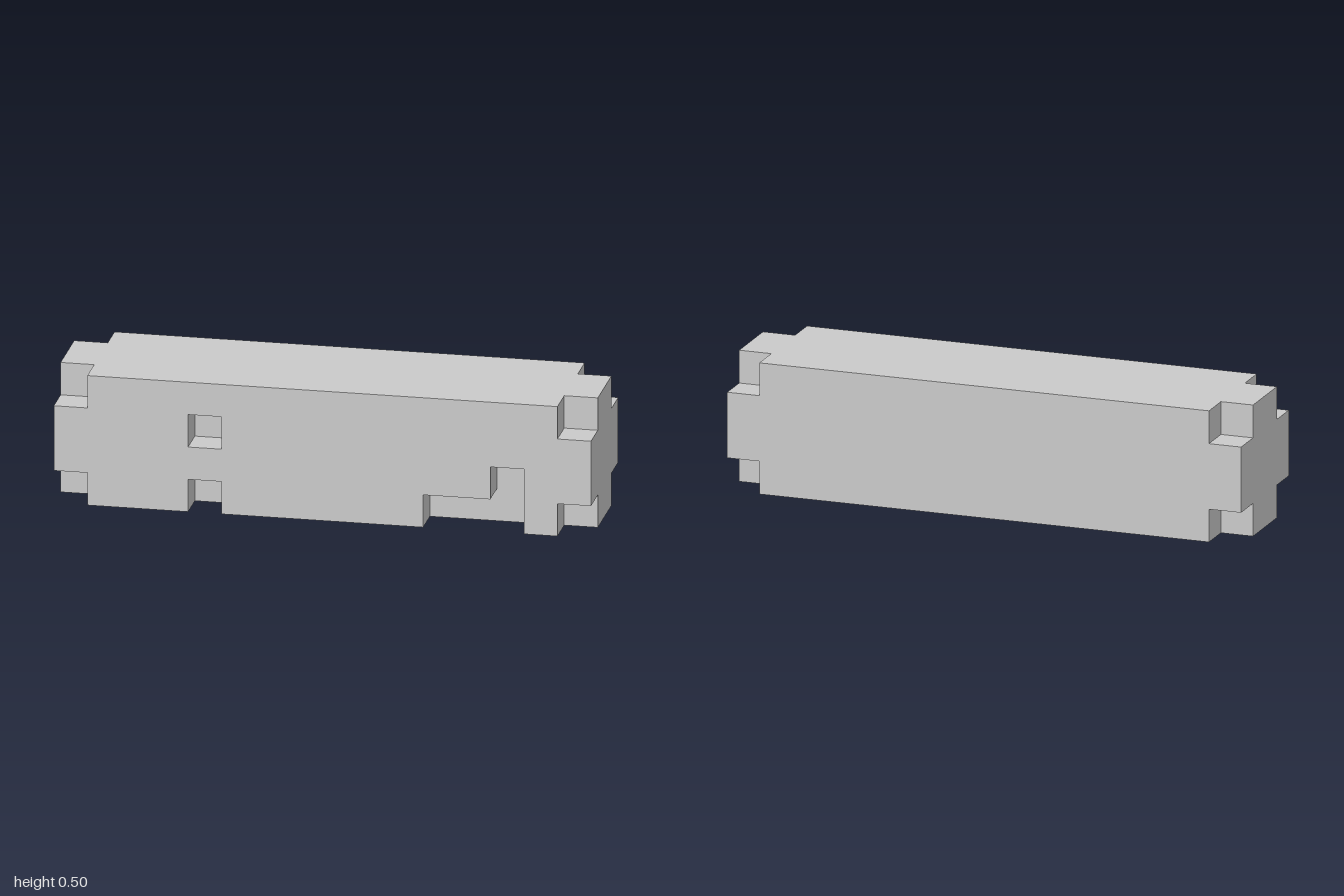
import * as THREE from 'three';

// The beam is a 16 x 4 x 4 grid of cubic cells with some cells carved away
const CELL = 0.125;
const SIZE = [16, 4, 4];

// Cells cut from the front layer, as [column from -x, row from the bottom]
const FRONT_CUTS = [
  [4, 2],                             // small square pocket
  [4, 0],                             // notch below the pocket
  [11, 0], [12, 0], [13, 0], [13, 1], // stepped notch
];

function isSolid(cell) {
  if (cell.some((c, i) => c < 0 || c >= SIZE[i])) return false;
  // All eight corners are cut
  if (cell.every((c, i) => c === 0 || c === SIZE[i] - 1)) return false;
  const [x, y, z] = cell;
  return !(z === SIZE[2] - 1 && FRONT_CUTS.some(([cx, cy]) => cx === x && cy === y));
}

// Outer skin only: one square for each cell side that faces empty space
function carvedGeometry() {
  const positions = [];
  const normals = [];
  const index = [];

  function addSquare(cell, axis, sign) {
    const u = (axis + 1) % 3;
    const v = (axis + 2) % 3;
    const first = positions.length / 3;
    for (const [du, dv] of [[0, 0], [1, 0], [1, 1], [0, 1]]) {
      const p = [...cell];
      if (sign > 0) p[axis] += 1;
      p[u] += du;
      p[v] += dv;
      positions.push((p[0] - SIZE[0] / 2) * CELL, p[1] * CELL, (p[2] - SIZE[2] / 2) * CELL);
      const n = [0, 0, 0];
      n[axis] = sign;
      normals.push(...n);
    }
    const order = sign > 0 ? [0, 1, 2, 0, 2, 3] : [0, 2, 1, 0, 3, 2];
    index.push(...order.map((i) => first + i));
  }

  for (let x = 0; x < SIZE[0]; x++) {
    for (let y = 0; y < SIZE[1]; y++) {
      for (let z = 0; z < SIZE[2]; z++) {
        const cell = [x, y, z];
        if (!isSolid(cell)) continue;
        for (let axis = 0; axis < 3; axis++) {
          for (const sign of [-1, 1]) {
            const next = [...cell];
            next[axis] += sign;
            if (!isSolid(next)) addSquare(cell, axis, sign);
          }
        }
      }
    }
  }

  const geometry = new THREE.BufferGeometry();
  geometry.setAttribute('position', new THREE.Float32BufferAttribute(positions, 3));
  geometry.setAttribute('normal', new THREE.Float32BufferAttribute(normals, 3));
  geometry.setIndex(index);
  return geometry;
}

export function createModel() {
  const grey = new THREE.MeshStandardMaterial({ color: 0xcacaca });
  grey.name = 'light grey';

  const beam = new THREE.Mesh(carvedGeometry(), grey);
  beam.name = 'notchedBeam';

  const model = new THREE.Group();
  model.name = 'notchedBlock';
  model.add(beam);
  return model;
}
